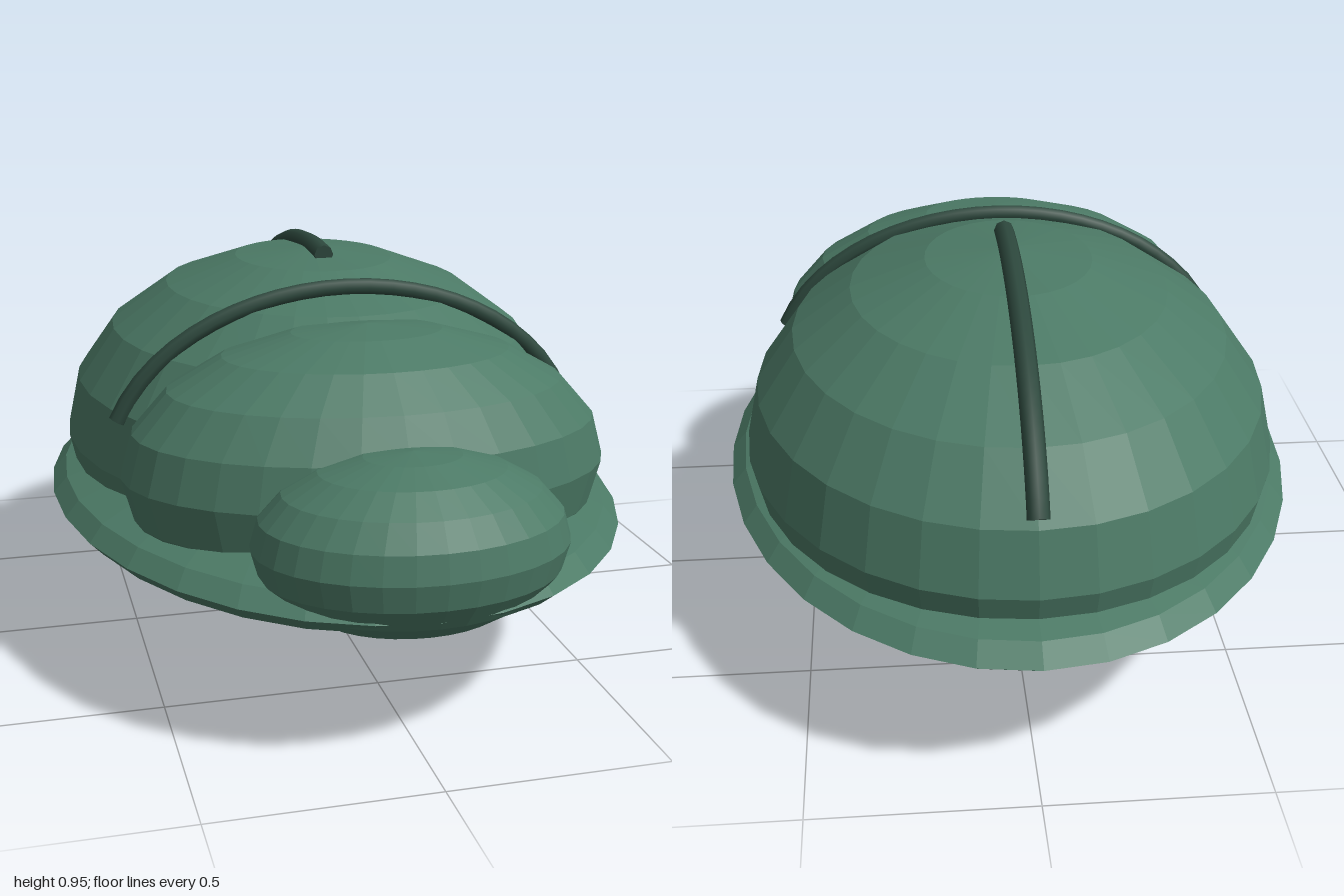
import * as THREE from 'three';

export function createModel() {
  const group = new THREE.Group();
  const shellGreen = new THREE.MeshStandardMaterial({ color: 0x4c7a66, flatShading: true });
  shellGreen.name = 'shellGreen';
  const seamGreen = new THREE.MeshStandardMaterial({ color: 0x2d483d });
  seamGreen.name = 'seamGreen';

  function add(name, geometry, material) {
    const mesh = new THREE.Mesh(geometry, material);
    mesh.name = name;
    group.add(mesh);
  }

  // Faceted ellipsoid from radii and centre
  function ellipsoid(name, [rx, ry, rz], [x, y, z]) {
    const g = new THREE.SphereGeometry(1, 32, 10);
    g.scale(rx, ry, rz);
    g.translate(x, y, z);
    add(name, g, shellGreen);
  }

  // Round strip with closed ends, following a path
  function strip(name, points, radius) {
    const curve = new THREE.CatmullRomCurve3(points);
    add(name, new THREE.TubeGeometry(curve, 24, radius, 8), seamGreen);
    for (const t of [0, 1]) {
      const cap = new THREE.CircleGeometry(radius, 8);
      const outward = curve.getTangentAt(t).multiplyScalar(t ? 1 : -1);
      cap.applyQuaternion(new THREE.Quaternion().setFromUnitVectors(new THREE.Vector3(0, 0, 1), outward));
      const p = curve.getPointAt(t);
      cap.translate(p.x, p.y, p.z);
      add(name + 'Cap', cap, seamGreen);
    }
  }

  // Shell body, flared rim, shoulder plate and head
  ellipsoid('shell', [0.635, 0.46, 0.77], [0, 0.467, -0.14]);
  ellipsoid('rim', [0.69, 0.12, 0.98], [0, 0.36, -0.02]);
  ellipsoid('shoulderPlate', [0.565, 0.325, 0.365], [0, 0.515, 0.38]);
  ellipsoid('head', [0.343, 0.195, 0.255], [0, 0.455, 0.74]);

  // Seam along the back, resting on the shell
  const spine = [];
  for (let i = 0; i <= 12; i++) {
    const z = -0.02 - 0.845 * Math.sin((i / 12) * Math.PI / 2);
    spine.push(new THREE.Vector3(0, 0.467 + 0.462 * Math.sqrt(1 - ((z + 0.14) / 0.775) ** 2), z));
  }
  strip('backSeam', spine, 0.024);

  // Seam across the shell behind the shoulder plate
  const cross = [];
  for (let i = 0; i <= 16; i++) {
    const a = THREE.MathUtils.degToRad(18 + 9 * i);
    cross.push(new THREE.Vector3(0.578 * Math.cos(a), 0.467 + 0.419 * Math.sin(a), 0.2));
  }
  strip('crossSeam', cross, 0.02);

  return group;
}
